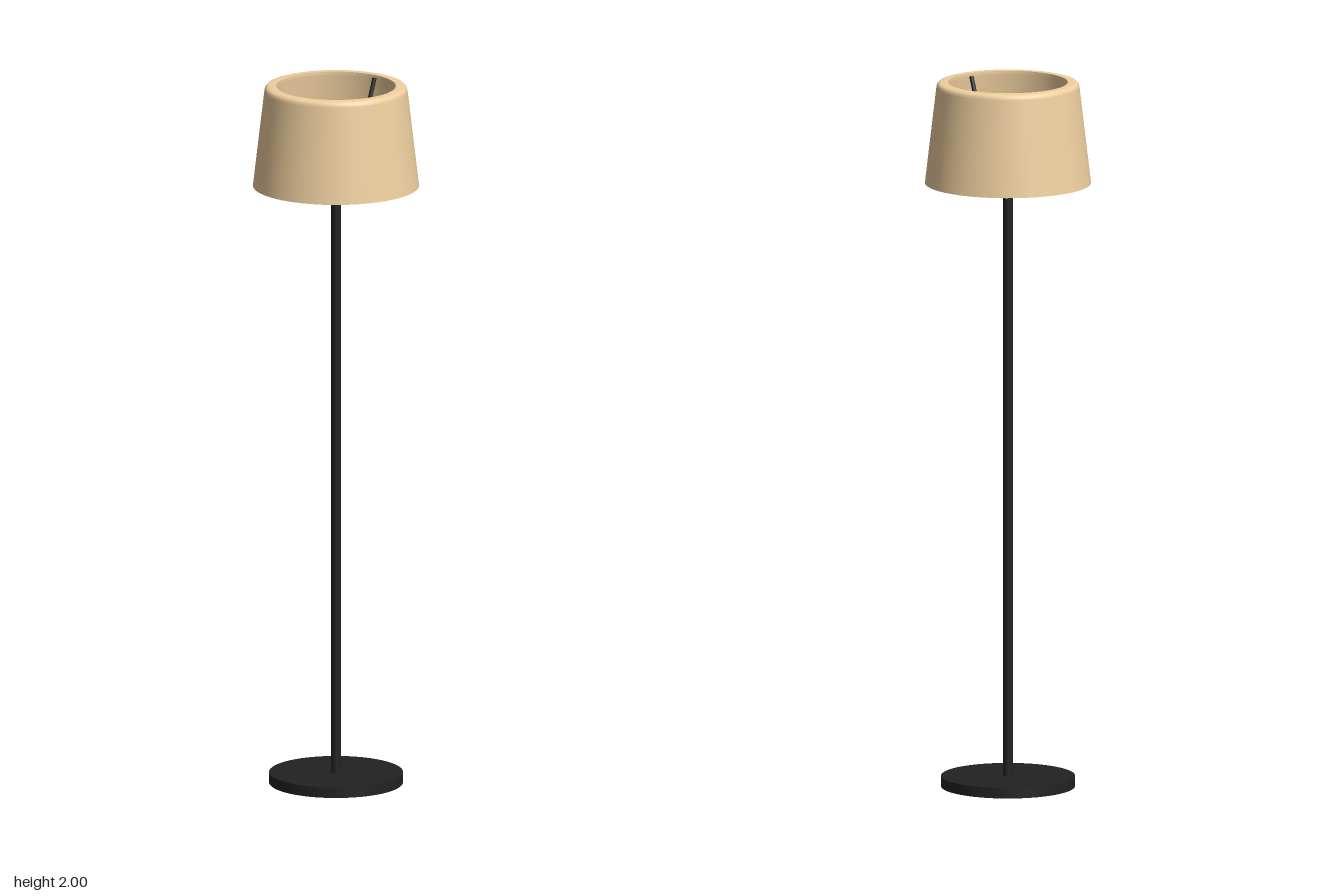
import * as THREE from 'three';

export function createModel() {
  const model = new THREE.Group();
  const black = new THREE.MeshStandardMaterial({ color: 0x222222 });
  const cream = new THREE.MeshStandardMaterial({ color: 0xf0d0a0, side: THREE.DoubleSide });

  const add = (name, geometry, material, y = 0, parent = model) => {
    const mesh = new THREE.Mesh(geometry, material);
    mesh.name = name;
    mesh.position.y = y;
    parent.add(mesh);
    return mesh;
  };
  const lathe = (points) =>
    new THREE.LatheGeometry(points.map(([r, y]) => new THREE.Vector2(r, y)), 64);

  // Weighted foot and pole
  add('base', new THREE.CylinderGeometry(0.187, 0.187, 0.03, 64), black, 0.015);
  add('pole', new THREE.CylinderGeometry(0.0145, 0.0145, 1.79, 24), black, 0.915);

  // Socket and bulb
  add('socket', new THREE.CylinderGeometry(0.054, 0.054, 0.026, 32), black, 1.813);
  add('bulb', new THREE.SphereGeometry(0.057, 32, 24), cream, 1.845);

  // Three bent arms carrying the shade
  const line = (a, b) => new THREE.LineCurve3(a, b);
  const hub = new THREE.Vector3(0.02, 1.807, 0);
  const bendIn = new THREE.Vector3(0.085, 1.797, 0);
  const corner = new THREE.Vector3(0.105, 1.794, 0);
  const bendOut = new THREE.Vector3(0.114, 1.815, 0);
  const tip = new THREE.Vector3(0.182, 1.988, 0);
  const armPath = new THREE.CurvePath();
  armPath.add(line(hub, bendIn));
  armPath.add(new THREE.QuadraticBezierCurve3(bendIn, corner, bendOut));
  armPath.add(line(bendOut, tip));
  const armGeometry = new THREE.TubeGeometry(armPath, 40, 0.006, 10);
  const arms = new THREE.Group();
  arms.name = 'shadeArms';
  for (let i = 0; i < 3; i++) {
    add('shadeArm', armGeometry, black, 0, arms).rotation.y = Math.PI + (i * Math.PI * 2) / 3;
  }
  model.add(arms);

  // Tapered shade: outer wall rolling into the top lip, inner wall, bottom edge
  const shade = new THREE.Group();
  shade.name = 'shade';
  add('shadeOuter', lathe([
    [0.232, 1.714], [0.2, 1.985], [0.1985, 1.993], [0.194, 1.998], [0.187, 2], [0.167, 2],
  ]), cream, 0, shade);
  add('shadeLip', lathe([[0.167, 2], [0.167, 1.992]]), cream, 0, shade);
  add('shadeLipUnderside', lathe([[0.167, 1.992], [0.195, 1.99]]), cream, 0, shade);
  add('shadeInner', lathe([[0.195, 1.99], [0.228, 1.714]]), cream, 0, shade);
  add('shadeBottomEdge', lathe([[0.228, 1.714], [0.232, 1.714]]), cream, 0, shade);
  model.add(shade);

  return model;
}
